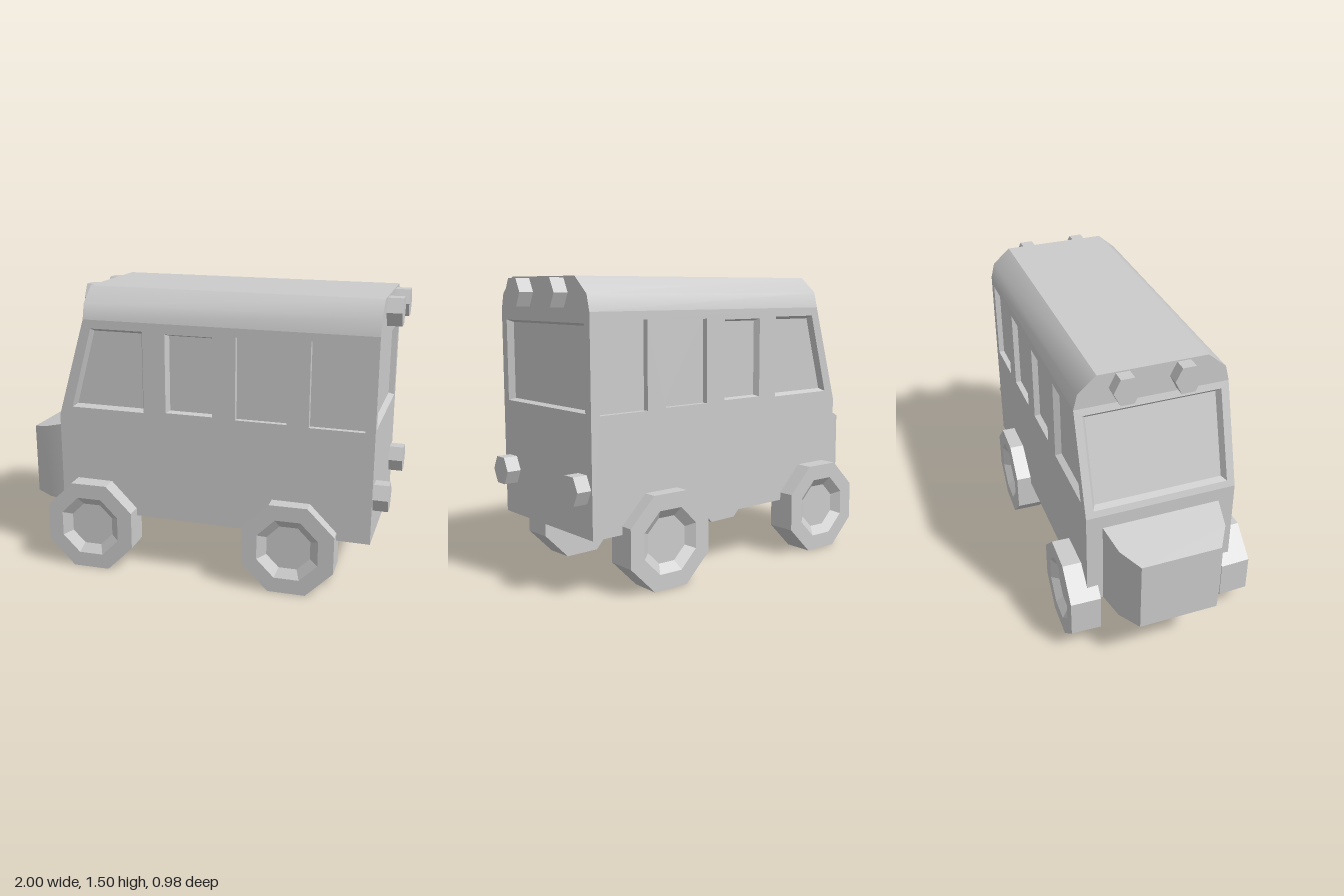
import * as THREE from 'three';
import { mergeGeometries, toCreasedNormals } from 'three/addons/utils/BufferGeometryUtils.js';

const material = new THREE.MeshStandardMaterial({ color: 0xcccccc });
const flatMaterial = new THREE.MeshStandardMaterial({ color: 0xcccccc, flatShading: true });

// Main dimensions
const FRONT = -0.745, ROOF_FRONT = -0.59, BACK = 0.925;
const FLOOR = 0.295, SILL = 0.82, EAVE = 1.34, HALF = 0.388;

const vectors = (pts) => pts.map(([x, y]) => new THREE.Vector2(x, y));
const rect = (x0, y0, x1, y1) => [[x0, y0], [x1, y0], [x1, y1], [x0, y1]];

function addMesh(group, name, geometry, mat = material) {
  const mesh = new THREE.Mesh(geometry, mat);
  mesh.name = name;
  group.add(mesh);
  return mesh;
}

// Flat panel facing +z; each window is a recess from an outer to an inner outline
function panelGeometry(outline, windows = [], depth = 0.03) {
  const shape = new THREE.Shape(vectors(outline));
  const parts = [];
  for (const { outer, inner } of windows) {
    shape.holes.push(new THREE.Path(vectors(outer)));
    parts.push(new THREE.ShapeGeometry(new THREE.Shape(vectors(inner))).translate(0, 0, -depth));
    const flip = THREE.ShapeUtils.isClockWise(vectors(outer));
    outer.forEach((a, i) => {
      const j = (i + 1) % outer.length;
      const quad = [[...a, 0], [...outer[j], 0], [...inner[j], -depth], [...inner[i], -depth]];
      if (flip) quad.reverse();
      const wall = new THREE.BufferGeometry();
      wall.setAttribute('position', new THREE.Float32BufferAttribute(quad.flat(), 3));
      wall.setAttribute('uv', new THREE.Float32BufferAttribute(new Array(8).fill(0), 2));
      wall.setIndex([0, 1, 2, 0, 2, 3]);
      wall.computeVertexNormals();
      parts.push(wall);
    });
  }
  parts.unshift(new THREE.ShapeGeometry(shape));
  return mergeGeometries(parts);
}

const mirrorX = (pts) => pts.map(([x, y]) => [-x, y]);

function createBody() {
  const body = new THREE.Group();
  body.name = 'body';

  // Side walls with four windows each
  const sideOutline = [[FRONT, FLOOR], [BACK, FLOOR], [BACK, EAVE], [ROOF_FRONT, EAVE], [FRONT, SILL]];
  const sideWindows = [
    { outer: [[-0.67, 0.87], [-0.265, 0.87], [-0.265, 1.295], [-0.55, 1.295]],
      inner: [[-0.65, 0.885], [-0.28, 0.885], [-0.28, 1.28], [-0.54, 1.28]] },
    { outer: rect(-0.145, 0.88, 0.105, 1.288), inner: rect(-0.13, 0.888, 0.1, 1.278) },
    { outer: rect(0.225, 0.875, 0.49, 1.295), inner: rect(0.225, 0.875, 0.49, 1.295) },
    { outer: rect(0.6, 0.87, 0.875, 1.3), inner: rect(0.6, 0.87, 0.875, 1.3) },
  ];
  addMesh(body, 'leftWall', panelGeometry(sideOutline, sideWindows)).position.z = HALF;
  const mirrored = sideWindows.map((w) => ({ outer: mirrorX(w.outer), inner: mirrorX(w.inner) }));
  const right = addMesh(body, 'rightWall', panelGeometry(mirrorX(sideOutline), mirrored));
  right.rotation.y = Math.PI;
  right.position.z = -HALF;

  // Rear wall with its window
  const rear = addMesh(body, 'rearWall', panelGeometry(rect(-HALF, FLOOR, HALF, EAVE),
    [{ outer: rect(-0.343, 0.88, 0.343, 1.288), inner: rect(-0.325, 0.89, 0.335, 1.276) }]));
  rear.rotation.y = Math.PI / 2;
  rear.position.x = BACK;

  // Nose wall and sloping windscreen above it
  const nose = addMesh(body, 'noseWall', panelGeometry(rect(-HALF, FLOOR, HALF, SILL)));
  nose.rotation.y = -Math.PI / 2;
  nose.position.x = FRONT;
  const run = ROOF_FRONT - FRONT, rise = EAVE - SILL, slope = Math.hypot(run, rise);
  const screen = panelGeometry(rect(-HALF, 0, HALF, slope),
    [{ outer: rect(-0.348, 0.035, 0.348, slope - 0.035), inner: rect(-0.33, 0.055, 0.33, slope - 0.05) }]);
  screen.rotateX(-Math.atan2(run, rise)).rotateY(-Math.PI / 2);
  addMesh(body, 'windscreen', screen).position.set(FRONT, SILL, 0);

  // Underside
  const floor = new THREE.PlaneGeometry(BACK - FRONT, 2 * HALF).rotateX(Math.PI / 2);
  addMesh(body, 'floor', floor).position.set((BACK + FRONT) / 2, FLOOR, 0);

  // Roof with rounded shoulders
  const roofProfile = [[HALF, EAVE], [0.368, 1.42], [0.275, 1.5], [-0.275, 1.5], [-0.368, 1.42], [-HALF, EAVE]];
  const roof = new THREE.ExtrudeGeometry(new THREE.Shape(vectors(roofProfile)),
    { depth: BACK - ROOF_FRONT, bevelEnabled: false }).rotateY(Math.PI / 2);
  addMesh(body, 'roof', toCreasedNormals(roof, 0.663)).position.x = ROOF_FRONT;
  return body;
}

// Hood: plan outline raised to a sloping top
function hoodGeometry() {
  const half = [[-0.745, 0.305], [-0.89, 0.275], [-1, 0.205]];
  const plan = [...half, ...half.map(([x, z]) => [x, -z]).reverse()];
  const geometry = new THREE.ExtrudeGeometry(new THREE.Shape(vectors(plan)), { depth: 1, bevelEnabled: false });
  geometry.rotateX(-Math.PI / 2);
  const p = geometry.attributes.position;
  for (let i = 0; i < p.count; i++) {
    p.setY(i, p.getY(i) > 0.5 ? 0.68 + (p.getX(i) + 1) * 0.265 : FLOOR);
  }
  return toCreasedNormals(geometry, 0.7);
}

// Eight-sided wheel with a dished hub on its outer (+z) face
function wheelGeometry() {
  const w = 0.078, profile = [[0, -w], [0.256, -w], [0.256, w], [0.17, w], [0.122, w - 0.035], [0, w - 0.035]];
  return new THREE.LatheGeometry(vectors(profile), 8, Math.PI / 8).rotateX(Math.PI / 2);
}

export function createModel() {
  const model = new THREE.Group();
  model.name = 'bus';
  model.add(createBody());
  addMesh(model, 'hood', hoodGeometry());

  // Wheels, slightly toed
  const wheel = wheelGeometry();
  for (const [axle, x, z] of [['front', -0.555, 0.404], ['rear', 0.52, 0.384]]) {
    for (const side of [1, -1]) {
      const mesh = addMesh(model, `${axle}${side > 0 ? 'Left' : 'Right'}Wheel`, wheel, flatMaterial);
      mesh.position.set(x, 0.238, side * z);
      mesh.rotation.y = side > 0 ? 0.03 : Math.PI - 0.03;
    }
  }

  // Six-sided lamps on the roof ends and lower rear corners
  const lamps = [
    ['frontRoofLamp', -0.655, ROOF_FRONT, 1.425, 0.15],
    ['rearRoofLamp', BACK, 1, 1.425, 0.15],
    ['tailLamp', BACK, 1, 0.53, 0.312],
  ];
  for (const [name, x0, x1, y, z] of lamps) {
    const lamp = new THREE.CylinderGeometry(0.068, 0.068, x1 - x0, 6).rotateZ(Math.PI / 2);
    lamp.scale(1, 1.155, 1);
    for (const side of [1, -1]) {
      addMesh(model, name, lamp, flatMaterial).position.set((x0 + x1) / 2, y, side * z);
    }
  }
  return model;
}
